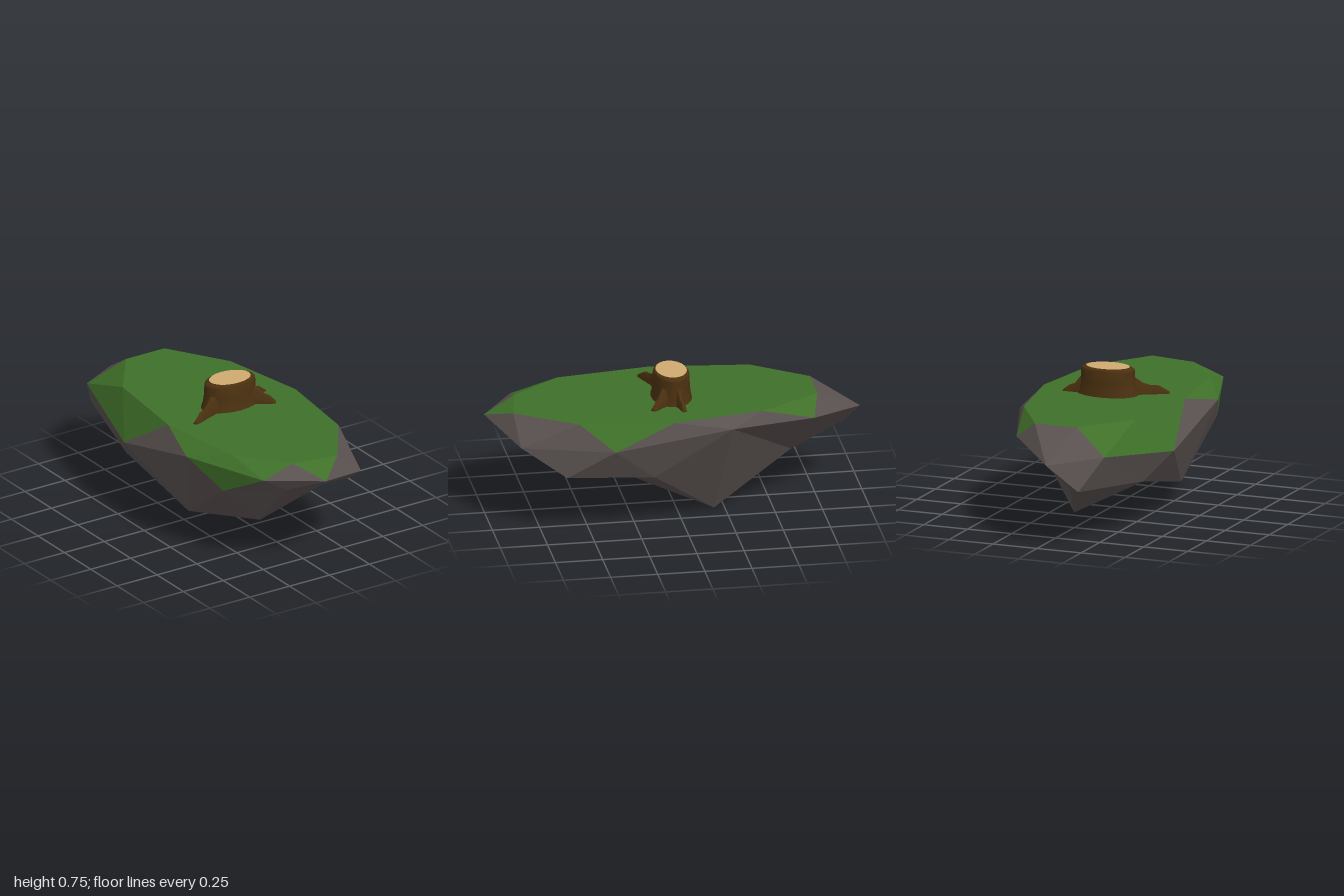
import * as THREE from 'three';
import { toCreasedNormals } from 'three/addons/utils/BufferGeometryUtils.js';

const GROUND = 0.605;
const mat = (color, flatShading = false) =>
  new THREE.MeshStandardMaterial({ color, flatShading, roughness: 1 });

const rockMat = mat(0x5a5250, true);
const grassMat = mat(0x3f7029, true);
const barkMat = mat(0x4a3010);
const cutMat = mat(0xd0aa70);

function addMesh(group, name, geometry, material) {
  const mesh = new THREE.Mesh(geometry, material);
  mesh.name = name;
  group.add(mesh);
}

// Geometry with one flat triangle per three points
function facets(points) {
  const g = new THREE.BufferGeometry();
  g.setAttribute('position', new THREE.Float32BufferAttribute(points.flat(), 3));
  g.computeVertexNormals();
  return g;
}

// Joins two closed rings: u steps along the upper, l along the lower; capitals are grass
function stitch(upper, lower, steps, rock, grass) {
  let i = 0, j = 0;
  for (const step of steps) {
    const a = upper[i % upper.length], b = lower[j % lower.length];
    const c = step.toLowerCase() === 'u' ? upper[++i % upper.length] : lower[++j % lower.length];
    (step === step.toLowerCase() ? rock : grass).push(a, b, c);
  }
}

function island() {
  const group = new THREE.Group();
  group.name = 'island';
  const rock = [], grass = [];

  // Level top outline, counterclockwise from the front
  const plateau = [
    [-0.116, 0.825], [0.137, 0.87], [0.35, 0.555], [0.41, 0.06], [0.32, -0.42],
    [0.12, -0.745], [-0.12, -0.745], [-0.33, -0.46], [-0.39, 0.06], [-0.32, 0.56],
  ].map(([x, z]) => [x, GROUND, z]);

  // Widest outline
  const rim = [
    [-0.29, 0.545, 0.815], [-0.02, 0.545, 1], [0.295, 0.47, 0.855], [0.457, 0.477, 0.38],
    [0.415, 0.55, -0.25], [0.24, 0.515, -0.71], [-0.05, 0.45, -1], [-0.31, 0.48, -0.83],
    [-0.46, 0.4, -0.25], [-0.46, 0.545, 0.34],
  ];

  // Lower outline, with T the lowest tip and L the side spur
  const v = {
    P: [-0.17, 0.475, 0.85], Q: [0.1, 0.42, 0.79], N: [0.38, 0.32, 0.625], O: [0.37, 0.29, 0.16],
    T: [0.13, 0, -0.195], U: [-0.03, 0.24, -0.63], C: [-0.21, 0.31, -0.945], E: [-0.35, 0.26, -0.4],
    L: [-0.327, 0.13, 0.16], V: [-0.367, 0.405, 0.55],
    // Front spur and the hollow behind it
    S: [-0.16, 0.2, 0.585], R: [0.165, 0.31, 0.44], W: [-0.05, 0.245, 0.42],
  };
  const keel = [...'PQNOTUCELV'].map(k => v[k]);

  stitch(plateau, rim, 'lUlulUlulUlulULUlULU', rock, grass);
  stitch(rim, keel, 'ululululluululululUl', rock, grass);

  // Underside facets
  const under = 'PVS PSQ QSR QRN NRO ORT RSW TRW SVL SLW WLE TWE TEU UEC';
  for (const face of under.split(' ')) for (const k of face) rock.push(v[k]);

  // Flat lawn
  for (let i = 1; i < plateau.length - 1; i++) grass.push(plateau[0], plateau[i], plateau[i + 1]);

  addMesh(group, 'rock', facets(rock), rockMat);
  addMesh(group, 'grass', facets(grass), grassMat);
  return group;
}

// Tapering root lying on the ground; stations are [x, z, top height, half width]
function rootGeometry(stations) {
  const first = stations[0], last = stations[stations.length - 1];
  const dir = new THREE.Vector2(last[0] - first[0], last[1] - first[1]).normalize();
  const section = [[-1, 0], [-0.85, 0.6], [-0.4, 1], [0.4, 1], [0.85, 0.6], [1, 0]];
  const rings = stations.map(([x, z, top, w]) => section.map(([s, h]) =>
    [x - dir.y * s * w, GROUND - 0.005 + h * (top - GROUND + 0.005), z + dir.x * s * w]));
  const pts = [];
  for (let i = 0; i < rings.length - 1; i++) {
    for (let j = 0; j < section.length - 1; j++) {
      const a = rings[i][j], b = rings[i][j + 1], c = rings[i + 1][j], d = rings[i + 1][j + 1];
      pts.push(a, b, c, b, d, c);
    }
  }
  const end = rings[rings.length - 1];
  for (let j = 1; j < end.length - 1; j++) pts.push(end[0], end[j], end[j + 1]);
  return toCreasedNormals(facets(pts), 0.6);
}

function stump() {
  const group = new THREE.Group();
  group.name = 'stump';
  const cx = 0.027, cz = 0.015, squash = 0.64;

  // Trunk with a bevelled top edge
  const profile = [[0.17, 0.6], [0.158, 0.63], [0.15, 0.68], [0.147, 0.738], [0.142, 0.745], [0.12, 0.753]]
    .map(([r, y]) => new THREE.Vector2(r, y));
  const trunk = new THREE.LatheGeometry(profile, 20);
  trunk.scale(1, 1, squash).translate(cx, 0, cz);
  addMesh(group, 'trunk', toCreasedNormals(trunk, 0.5), barkMat);

  // Pale sawn face
  const cut = new THREE.CircleGeometry(0.12, 20);
  cut.rotateX(-Math.PI / 2).scale(1, 1, squash + 0.04).translate(cx, 0.7535, cz);
  addMesh(group, 'cutFace', cut, cutMat);

  // Three spreading roots
  const roots = [
    [[-0.06, 0.035, 0.7, 0.04], [-0.11, 0.06, 0.69, 0.03], [-0.145, 0.077, 0.662, 0.024],
      [-0.18, 0.094, 0.65, 0.02], [-0.22, 0.113, 0.647, 0.018], [-0.27, 0.137, 0.615, 0.012]],
    [[0.1, 0.04, 0.7, 0.04], [0.15, 0.075, 0.69, 0.03], [0.18, 0.1, 0.655, 0.023],
      [0.205, 0.122, 0.643, 0.019], [0.23, 0.145, 0.615, 0.013]],
    [[0.12, 0.0, 0.7, 0.035], [0.172, -0.006, 0.69, 0.026], [0.205, -0.01, 0.647, 0.019],
      [0.23, -0.013, 0.64, 0.017], [0.27, -0.018, 0.61, 0.012]],
  ];
  for (const stations of roots) {
    const g = rootGeometry(stations);
    addMesh(group, 'root', g, barkMat);
  }
  return group;
}

export function createModel() {
  const model = new THREE.Group();
  model.name = 'floatingIslandWithStump';
  model.add(island(), stump());
  return model;
}
